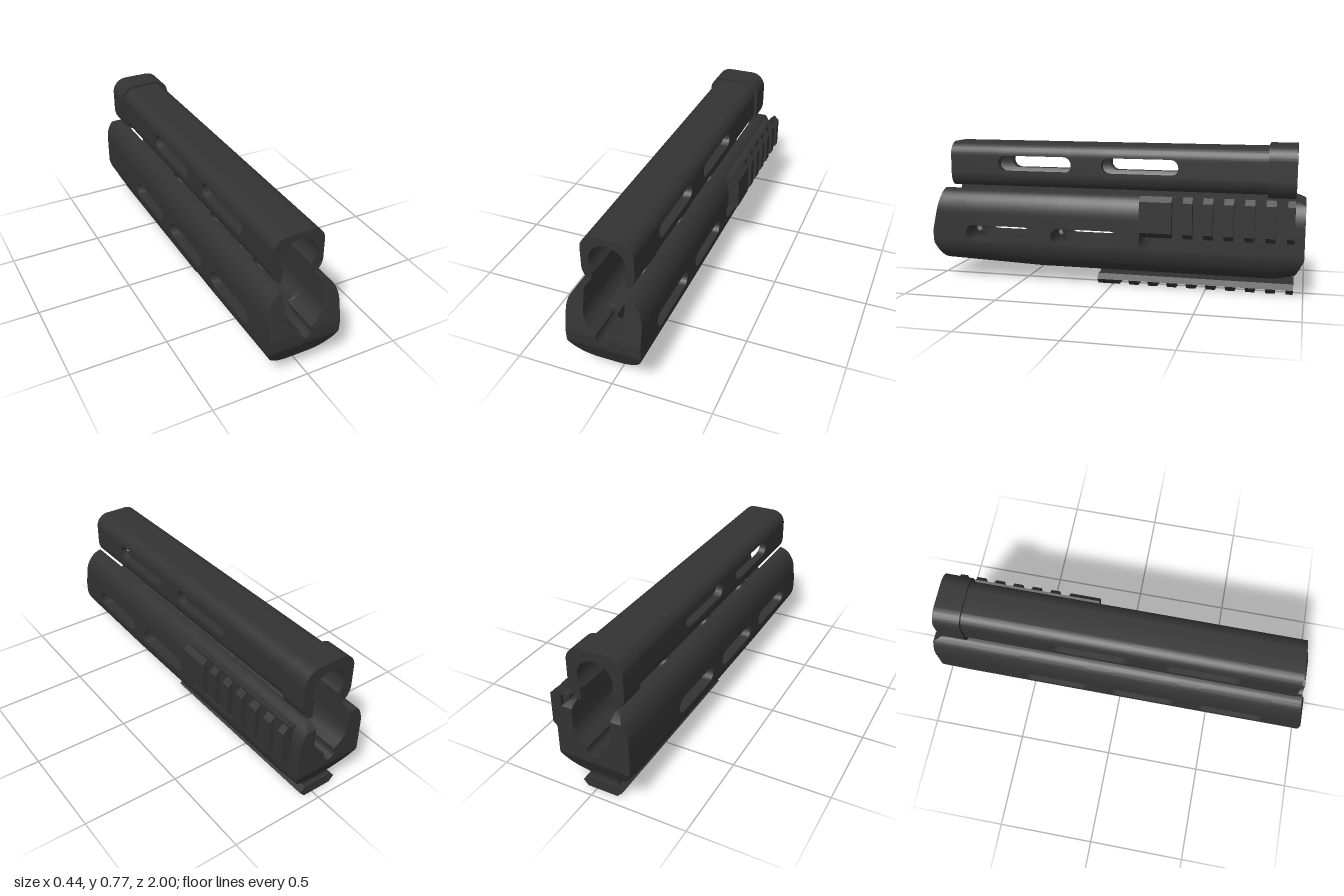
import * as THREE from 'three';
import { toCreasedNormals } from 'three/addons/utils/BufferGeometryUtils.js';

const black = new THREE.MeshStandardMaterial({ color: 0x333333 });
black.name = 'matte black';

const CX = -0.032; // centre line of the handguard
const SLOT_R = 0.043;

// half height of the rounded slots at a given z
function slotHalf(slots, z) {
  for (const [a, b] of slots) {
    const d = Math.min(z - a, b - z, SLOT_R);
    if (d > 0) return Math.sqrt(SLOT_R ** 2 - (SLOT_R - d) ** 2);
  }
  return 0;
}

// piecewise linear lookup
function lerpTable(table, v) {
  if (v <= table[0][0]) return table[0][1];
  for (let i = 1; i < table.length; i++) {
    const [a, fa] = table[i - 1], [b, fb] = table[i];
    if (v <= b) return fa + (fb - fa) * (v - a) / (b - a);
  }
  return table[table.length - 1][1];
}

// half width of a rounded outline with elliptical corners
function roundedOutline(y0, y1, half, low, high) {
  return (y) => {
    const [c, h] = y < y0 + low[1] ? [low, (y0 + low[1] - y) / low[1]]
      : y > y1 - high[1] ? [high, (y - y1 + high[1]) / high[1]] : [low, 0];
    return half - c[0] * (1 - Math.sqrt(Math.max(0, 1 - h * h)));
  };
}

const circleHalf = (y, cy, r) => Math.sqrt(Math.max(0, r * r - (y - cy) ** 2));

// Loft one side of the shell, above or below the slot line.
function loftPiece(o, side, upper) {
  const N = 32, pos = [];
  const rings = o.stations.map((z) => {
    const h = slotHalf(o.slots, z);
    const from = upper ? o.mid + h : o.y0, to = upper ? o.y1 : o.mid - h;
    const out = [], inn = [];
    for (let i = 0; i <= N; i++) {
      const y = from + (to - from) * (1 - Math.cos(Math.PI * i / N)) / 2;
      const cut = upper ? 0 : slotHalf(o.bottomSlots || [], z) * 0.84;
      const xo = o.outer(y), xi = Math.min(xo, Math.max(o.inner(y), cut));
      const place = (x) => {
        const p = new THREE.Vector3(x * side, y, z);
        if (o.warp) o.warp(p);
        p.x += CX;
        return p;
      };
      out.push(place(xo));
      inn.push(place(xi));
    }
    return [...out, ...inn.reverse()];
  });
  const tri = (a, b, c) => {
    const n = b.clone().sub(a).cross(c.clone().sub(a));
    if (n.length() < 1e-10) return;
    for (const p of side > 0 ? [a, b, c] : [a, c, b]) pos.push(p.x, p.y, p.z);
  };
  const quad = (a, b, c, d) => { tri(a, b, c); tri(a, c, d); };
  const M = 2 * N + 2;
  for (let s = 0; s + 1 < rings.length; s++) {
    for (let i = 0; i < M; i++) {
      const j = (i + 1) % M;
      quad(rings[s][i], rings[s][j], rings[s + 1][j], rings[s + 1][i]);
    }
  }
  const back = rings[0], front = rings[rings.length - 1];
  for (let i = 0; i < N; i++) {
    const k = M - 1 - i;
    quad(front[i], front[i + 1], front[k - 1], front[k]);
    quad(back[k], back[k - 1], back[i + 1], back[i]);
  }
  const g = new THREE.BufferGeometry();
  g.setAttribute('position', new THREE.Float32BufferAttribute(pos, 3));
  return toCreasedNormals(g, 0.6);
}

function shell(name, o) {
  const zs = [...o.stations];
  for (const [a, b] of [...o.slots, ...(o.bottomSlots || [])]) {
    for (let k = 0; k <= 7; k++) {
      const d = SLOT_R * (1 - Math.cos(Math.PI * k / 14));
      zs.push(a + d, b - d);
    }
  }
  const stations = [...new Set(zs.map((z) => +z.toFixed(5)))].sort((a, b) => a - b);
  const group = new THREE.Group();
  group.name = name;
  for (const side of [1, -1]) {
    for (const upper of [false, true]) {
      const mesh = new THREE.Mesh(loftPiece({ ...o, stations }, side, upper), black);
      mesh.name = `${name}${side > 0 ? 'Left' : 'Right'}${upper ? 'Upper' : 'Lower'}`;
      group.add(mesh);
    }
  }
  return group;
}

// prism along z from a mirrored half profile
function prism(name, half, zMin, zMax) {
  const pts = [...half, ...half.map(([x, y]) => [-x, y]).reverse()];
  const shape = new THREE.Shape(pts.map(([x, y]) => new THREE.Vector2(x, y)));
  const g = new THREE.ExtrudeGeometry(shape, { depth: zMax - zMin, bevelEnabled: false });
  g.translate(0, 0, zMin);
  const mesh = new THREE.Mesh(g, black);
  mesh.name = name;
  return mesh;
}

// accessory rail facing -y, with a long front block followed by teeth
function rail(name, zFront, zBlock, teeth) {
  const group = new THREE.Group();
  group.name = name;
  group.add(prism('railBase', [[0.107, 0.028], [0.08, 0.055]], -0.95, zFront));
  group.add(prism('railNeck', [[0.08, 0.055], [0.08, 0.088]], -0.93, zFront - 0.015));
  const tooth = [[0.08, 0], [0.107, 0.028]];
  group.add(prism('railBlock', tooth, zBlock, zFront));
  for (let i = 0; i < teeth; i++) {
    const z = -0.913 + i * 0.103;
    group.add(prism('railTooth', tooth, Math.max(-0.95, z - 0.049), z));
  }
  return group;
}

export function createModel() {
  const model = new THREE.Group();
  model.name = 'handguard';

  // lower handguard: barrel channel, gas tube groove, sloped ends
  const frontEnd = [[0.08, 0.95], [0.2, 0.997], [0.27, 1], [0.5, 0.95]];
  const backEnd = [[0.08, 0.95], [0.2, 1], [0.475, 1], [0.5, 0.95]];
  const bottomLift = [[-0.955, 0.02], [-0.85, 0], [0.4, 0], [0.95, 0.02]];
  const lowerSlots = [[0.43, 0.805], [-0.05, 0.32], [-0.53, -0.16]];
  model.add(shell('lowerHandguard', {
    y0: 0.078, y1: 0.5, mid: 0.265,
    slots: lowerSlots,
    bottomSlots: lowerSlots.slice(0, 2),
    stations: [-1, -0.93, -0.85, 0.4, 0.93, 1],
    outer: roundedOutline(0.078, 0.5, 0.188, [0.128, 0.142], [0.087, 0.13]),
    inner: (y) => Math.max(circleHalf(y, 0.267, 0.034), y > 0.387 ? 0.101 : circleHalf(y, 0.387, 0.101)),
    warp: (p) => {
      p.z = Math.max(-lerpTable(backEnd, p.y), Math.min(lerpTable(frontEnd, p.y), p.z));
      p.y += lerpTable(bottomLift, p.z) * Math.max(0, (0.22 - p.y) / 0.142);
    },
  }));

  // upper handguard and its rear collar
  const bore = (y) => (y < 0.565 ? 0.082 : circleHalf(y, 0.63, 0.092));
  model.add(shell('upperHandguard', {
    y0: 0.517, y1: 0.755, mid: 0.643,
    slots: [[0.22, 0.63], [-0.355, 0.055]],
    stations: [-0.94, 0.905],
    outer: roundedOutline(0.517, 0.755, 0.13, [0.048, 0.07], [0.07, 0.07]),
    inner: bore,
  }));
  model.add(shell('rearCollar', {
    y0: 0.5, y1: 0.771, mid: 0.643,
    slots: [],
    stations: [-0.95, -0.81],
    outer: roundedOutline(0.5, 0.771, 0.145, [0.063, 0.085], [0.08, 0.08]),
    inner: bore,
  }));

  // rails under the body and on its left side
  const bottomRail = rail('bottomRail', 0.083, -0.035, 9);
  bottomRail.position.x = CX;
  const sideRail = rail('sideRail', -0.175, -0.342, 6);
  sideRail.rotation.z = Math.PI / 2;
  sideRail.position.set(0.219, 0.402, 0);
  model.add(bottomRail, sideRail);

  return model;
}
